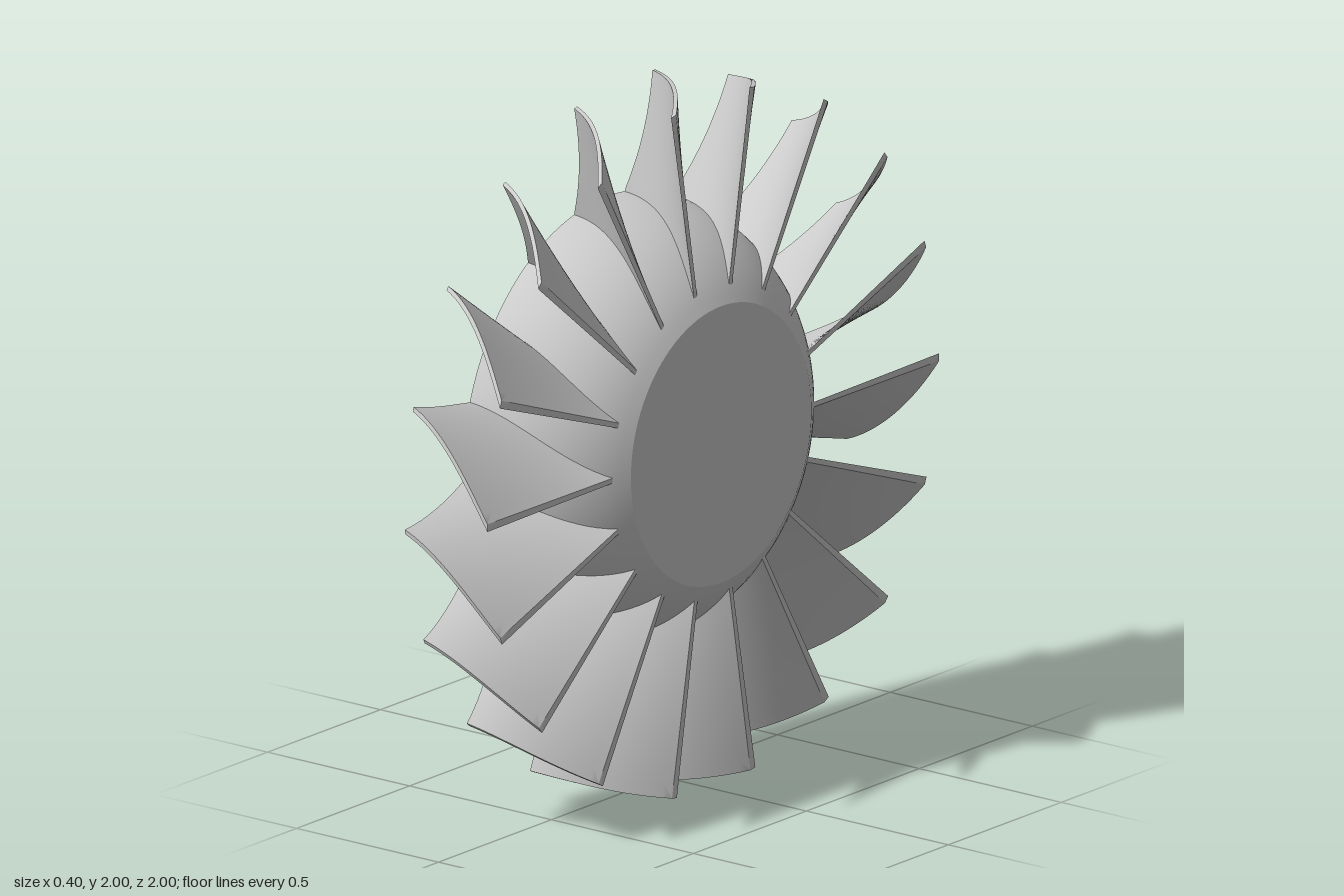
import * as THREE from 'three';
import { toCreasedNormals } from 'three/addons/utils/BufferGeometryUtils.js';

const BLADES = 18, BACK = -0.2, FRONT = 0.2, LEAD = 0.172, TIP = 1;
const lerp = THREE.MathUtils.lerp, rad = THREE.MathUtils.degToRad;

// Domed hub: circular arc from the wide back rim to the small front face
const hubRadius = (x) => 0.187 + Math.sqrt(0.453 ** 2 - (x - BACK) ** 2);

// Back edge of a blade, sweeping forward toward the tip
const trailX = (r) => -0.12 - 0.08 * Math.min(1, Math.max(0, (TIP - r) / 0.36)) ** 1.8;

// Camber: angle around the axle as a function of axial position
const camber = (x) => rad(17.1 - 112 * (x + 0.22) ** 2);
const camberSlope = (x) => rad(-224 * (x + 0.22));

function bladePoint(u, v, side) {
  const r = lerp(hubRadius(lerp(BACK, LEAD, u)) - 0.012, TIP, v);
  const x = lerp(trailX(r), LEAD, u);
  const half = 0.006 * Math.hypot(1, r * camberSlope(x));
  const a = camber(x) + side * half / r;
  return [x, r * Math.sin(a), r * Math.cos(a)];
}

function bladeGeometry(nu = 18, nv = 14) {
  // Each section is a closed loop: upper skin forward, lower skin back
  const sections = [];
  for (let j = 0; j <= nv; j++) {
    const loop = [];
    for (let i = 0; i <= nu; i++) loop.push(bladePoint(i / nu, j / nv, 1));
    for (let i = nu; i >= 0; i--) loop.push(bladePoint(i / nu, j / nv, -1));
    sections.push(loop);
  }
  const pos = [];
  const quad = (a, b, c, d) => pos.push(...a, ...b, ...c, ...a, ...c, ...d);
  const n = sections[0].length;
  for (let j = 0; j < nv; j++) {
    const s = sections[j], t = sections[j + 1];
    for (let i = 0; i < n; i++) {
      const k = (i + 1) % n;
      quad(s[i], t[i], t[k], s[k]);
    }
  }
  // Tip cap
  const tip = sections[nv];
  for (let i = 0; i < nu; i++) quad(tip[i], tip[n - 1 - i], tip[n - 2 - i], tip[i + 1]);
  const g = new THREE.BufferGeometry();
  g.setAttribute('position', new THREE.Float32BufferAttribute(pos, 3));
  return toCreasedNormals(g, 0.6);
}

export function createModel() {
  const model = new THREE.Group();
  model.name = 'bladedWheel';
  const material = new THREE.MeshStandardMaterial({ color: 0xcccccc });

  // Hub, turned around the x axis
  const profile = [new THREE.Vector2(0, BACK)];
  for (let i = 0; i <= 24; i++) {
    const x = lerp(BACK, FRONT, i / 24);
    profile.push(new THREE.Vector2(hubRadius(x), x));
  }
  profile.push(new THREE.Vector2(0, FRONT));
  const hub = new THREE.Mesh(toCreasedNormals(new THREE.LatheGeometry(profile, 96), 0.5), material);
  hub.name = 'hub';
  hub.rotation.z = -Math.PI / 2;
  hub.position.y = 1;
  model.add(hub);

  // Ring of curved blades
  const blades = new THREE.Group();
  blades.name = 'blades';
  blades.position.y = 1;
  const geometry = bladeGeometry();
  for (let i = 0; i < BLADES; i++) {
    const blade = new THREE.Mesh(geometry, material);
    blade.name = `blade${i + 1}`;
    blade.rotation.x = (i / BLADES) * Math.PI * 2;
    blades.add(blade);
  }
  model.add(blades);
  return model;
}
